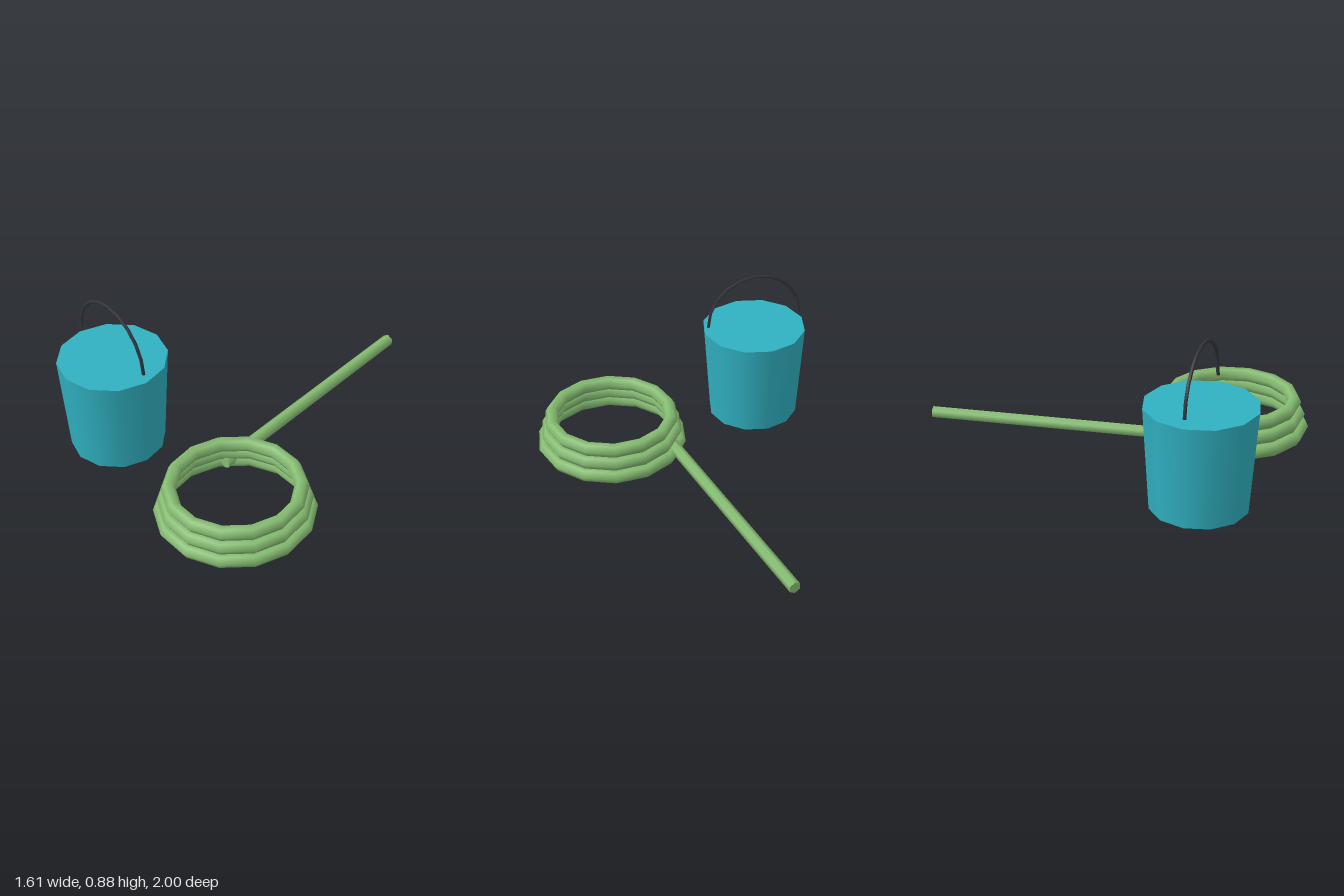
import * as THREE from 'three';

const teal = new THREE.MeshStandardMaterial({ color: 0x30b0c0 });
const green = new THREE.MeshStandardMaterial({ color: 0x86bd72 });
const dark = new THREE.MeshStandardMaterial({ color: 0x33343d, side: THREE.DoubleSide });

function addPart(parent, name, geometry, material, x, y, z) {
  const mesh = new THREE.Mesh(geometry, material);
  mesh.name = name;
  mesh.position.set(x, y, z);
  parent.add(mesh);
  return mesh;
}

export function createModel() {
  const model = new THREE.Group();
  model.name = 'bucketAndHose';

  // Tapered bucket, filled to the rim, with an arched handle
  const bucket = new THREE.Group();
  bucket.name = 'bucket';
  bucket.position.set(-0.512, 0, 0.677);
  addPart(bucket, 'pail', new THREE.CylinderGeometry(0.295, 0.257, 0.552, 12), teal, 0, 0.276, 0);
  addPart(bucket, 'handle', new THREE.TorusGeometry(0.276, 0.009, 6, 10, Math.PI), dark, 0, 0.596, 0);
  model.add(bucket);

  // Coiled hose: three stacked rings, each smaller than the one below
  const hose = new THREE.Group();
  hose.name = 'hose';
  for (let i = 0; i < 3; i++) {
    const ring = new THREE.TorusGeometry(0.386 - i * 0.0225, 0.039, 6, 14);
    ring.rotateX(Math.PI / 2);
    addPart(hose, 'coil' + (i + 1), ring, green, 0.378, 0.043 + i * 0.0715, 0.585);
  }

  // Straight loose end running to the back
  const start = new THREE.Vector3(0.092, 0.064, 0.42);
  const end = new THREE.Vector3(-0.118, 0.064, -0.995);
  const tail = new THREE.CylinderGeometry(0.034, 0.034, start.distanceTo(end), 6);
  tail.rotateX(Math.PI / 2);
  const middle = start.clone().add(end).multiplyScalar(0.5);
  const looseEnd = addPart(hose, 'looseEnd', tail, green, middle.x, middle.y, middle.z);
  looseEnd.rotation.y = Math.atan2(start.x - end.x, start.z - end.z);
  model.add(hose);

  return model;
}
